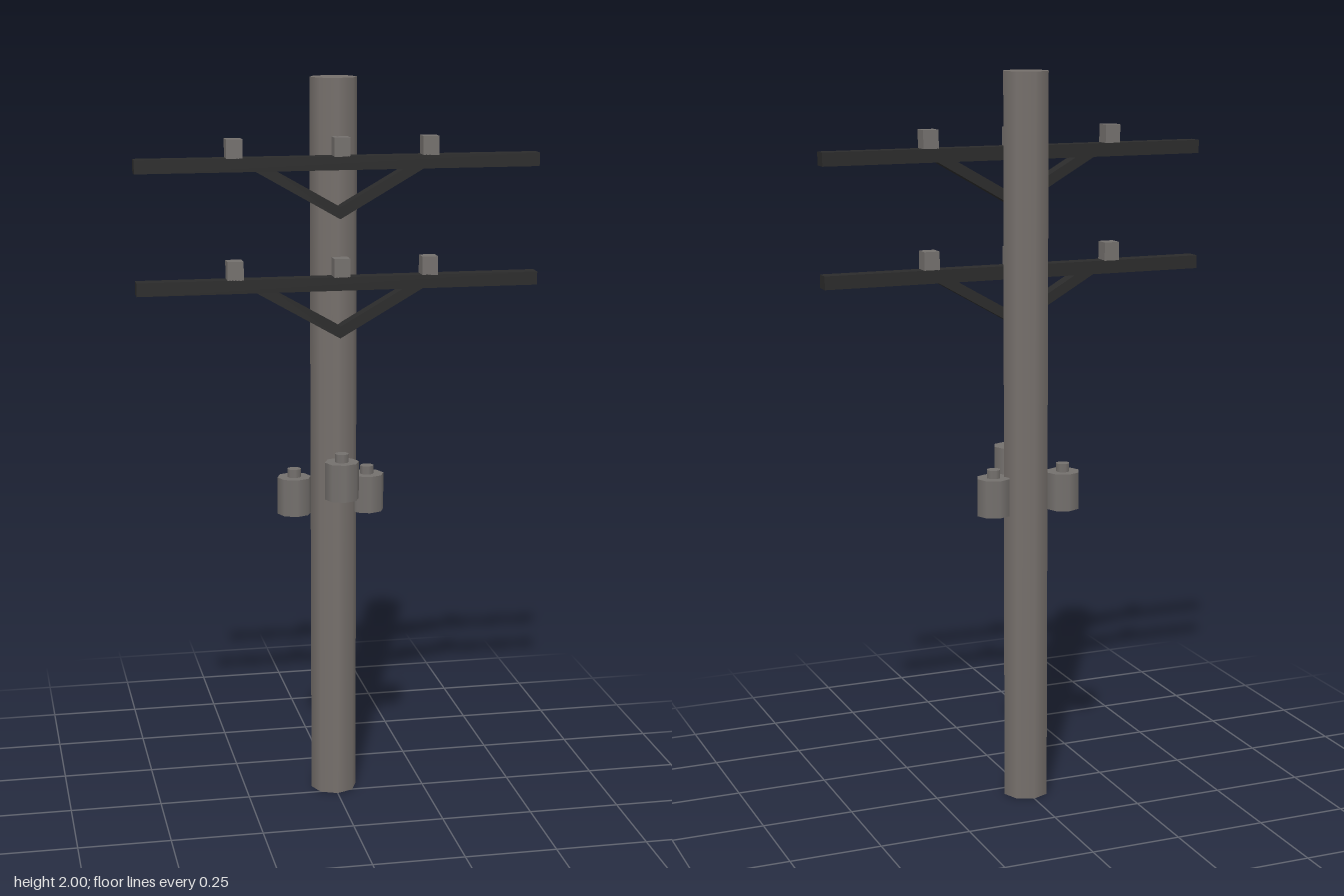
import * as THREE from 'three';

const wood = new THREE.MeshStandardMaterial({ name: 'weatheredGrey', color: 0x76706c, side: THREE.DoubleSide });
const metal = new THREE.MeshStandardMaterial({ name: 'metalGrey', color: 0x74706d });
const dark = new THREE.MeshStandardMaterial({ name: 'darkIron', color: 0x2b2b2b });

const POLE_Z = -0.043;
const ARM_Z = 0.036;
const ARM_DEPTH = 0.042;

function add(parent, name, geometry, material, x, y, z) {
  const mesh = new THREE.Mesh(geometry, material);
  mesh.name = name;
  mesh.position.set(x, y, z);
  parent.add(mesh);
  return mesh;
}

// Crossarm with V brace and three insulators; y is the top of the arm
function createCrossarm(y) {
  const group = new THREE.Group();
  group.name = 'crossarm';
  group.position.set(0, y, ARM_Z);
  add(group, 'arm', new THREE.BoxGeometry(1.082, 0.036, ARM_DEPTH), dark, 0, -0.018, 0);

  const v = new THREE.Shape([
    [0, -0.165], [0.235, -0.03], [0.18, -0.03], [0, -0.133], [-0.18, -0.03], [-0.235, -0.03],
  ].map(([px, py]) => new THREE.Vector2(px, py)));
  const braceGeometry = new THREE.ExtrudeGeometry(v, { depth: ARM_DEPTH - 0.002, bevelEnabled: false });
  add(group, 'brace', braceGeometry, dark, 0, 0, -ARM_DEPTH / 2 + 0.001);

  for (const x of [-0.28, 0.005, 0.244]) {
    add(group, 'insulator', new THREE.BoxGeometry(0.043, 0.05, ARM_DEPTH), metal, x, 0.024, 0);
  }
  return group;
}

// Eight-sided can with a small terminal on top; y is the underside
function createTransformer(x, y, z) {
  const group = new THREE.Group();
  group.name = 'transformer';
  group.position.set(x, y, z);
  add(group, 'can', new THREE.CylinderGeometry(0.047, 0.047, 0.103, 8), metal, 0, 0.0515, 0);
  add(group, 'terminal', new THREE.CylinderGeometry(0.019, 0.019, 0.023, 8), metal, 0, 0.1145, 0);
  return group;
}

export function createModel() {
  const model = new THREE.Group();
  model.name = 'utilityPole';

  // Hollow pole, open at the foot and capped at the top
  add(model, 'pole', new THREE.CylinderGeometry(0.064, 0.064, 2, 8, 1, true), wood, 0, 1, POLE_Z);
  const cap = new THREE.CircleGeometry(0.064, 8).rotateX(-Math.PI / 2);
  add(model, 'poleCap', cap, wood, 0, 2, POLE_Z);

  for (const y of [1.8, 1.481]) model.add(createCrossarm(y));

  model.add(createTransformer(-0.11, 0.813, POLE_Z));
  model.add(createTransformer(0.094, 0.813, POLE_Z));
  model.add(createTransformer(0.004, 0.874, 0.057));
  return model;
}
